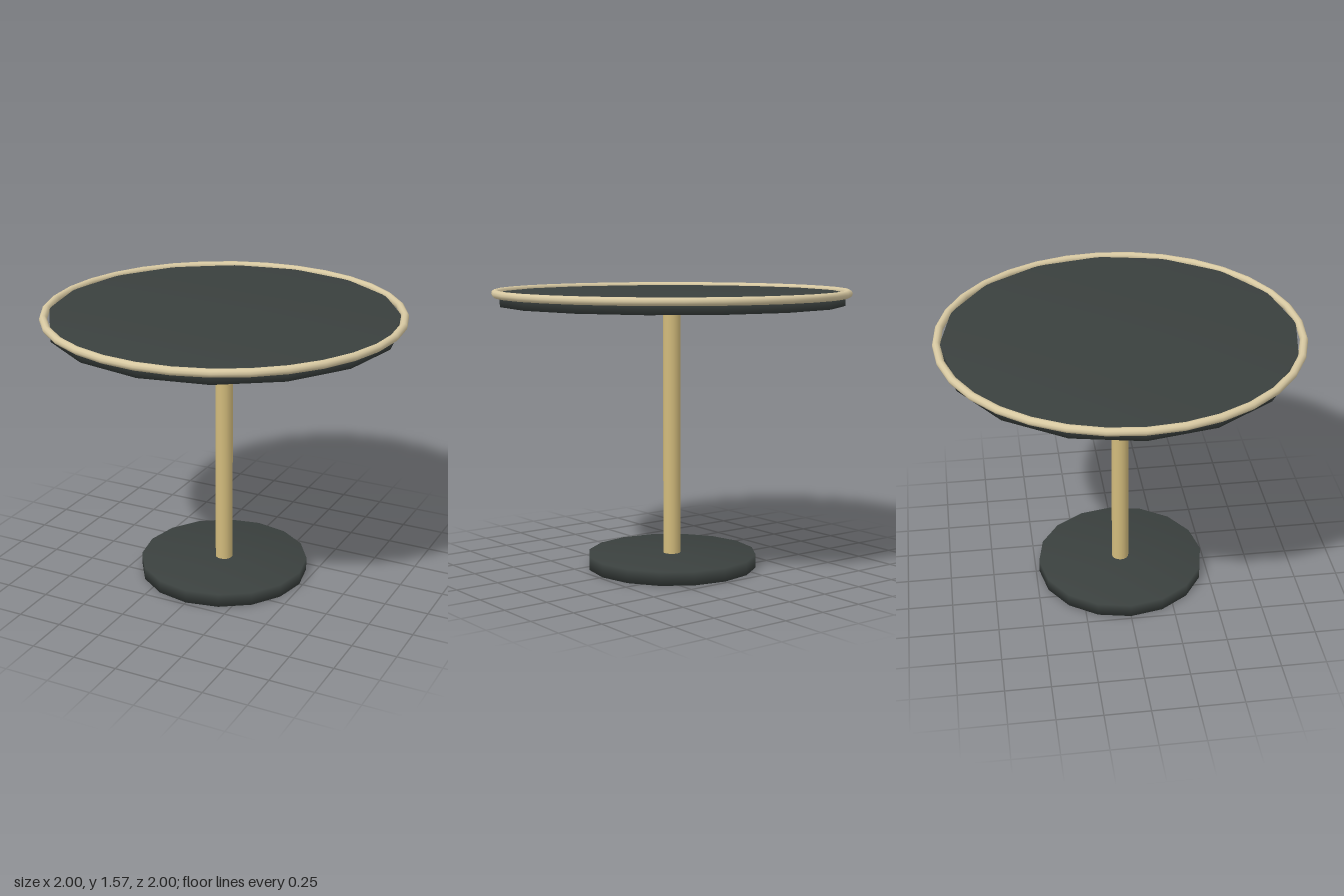
import * as THREE from 'three';
import { mergeVertices } from 'three/addons/utils/BufferGeometryUtils.js';

const dark = new THREE.MeshStandardMaterial({ color: 0x3a403e });
const wood = new THREE.MeshStandardMaterial({ color: 0xd2bb7c });
const trim = new THREE.MeshStandardMaterial({ color: 0xd8c9a2 });

// Sixteen-sided disc with normals smoothed over its rim
function disc(name, radius, bottom, top) {
  let geo = new THREE.CylinderGeometry(radius, radius, top - bottom, 16);
  geo.deleteAttribute('normal');
  geo.deleteAttribute('uv');
  geo = mergeVertices(geo, 1e-4);
  geo.computeVertexNormals();
  const mesh = new THREE.Mesh(geo, dark);
  mesh.name = name;
  mesh.position.y = (bottom + top) / 2;
  return mesh;
}

export function createModel() {
  const table = new THREE.Group();
  table.name = 'roundTable';

  table.add(disc('base', 0.48, 0, 0.075));
  table.add(disc('tableTop', 0.96, 1.485, 1.555));

  // Central column
  const column = new THREE.Mesh(new THREE.CylinderGeometry(0.049, 0.049, 1.43, 16, 1, true), wood);
  column.name = 'column';
  column.position.y = 0.065 + 1.43 / 2;
  table.add(column);

  // Rounded trim around the edge of the top
  const ring = new THREE.Mesh(new THREE.TorusGeometry(0.977, 0.022, 10, 32), trim);
  ring.name = 'edgeTrim';
  ring.rotation.x = -Math.PI / 2;
  ring.position.y = 1.552;
  table.add(ring);

  return table;
}
